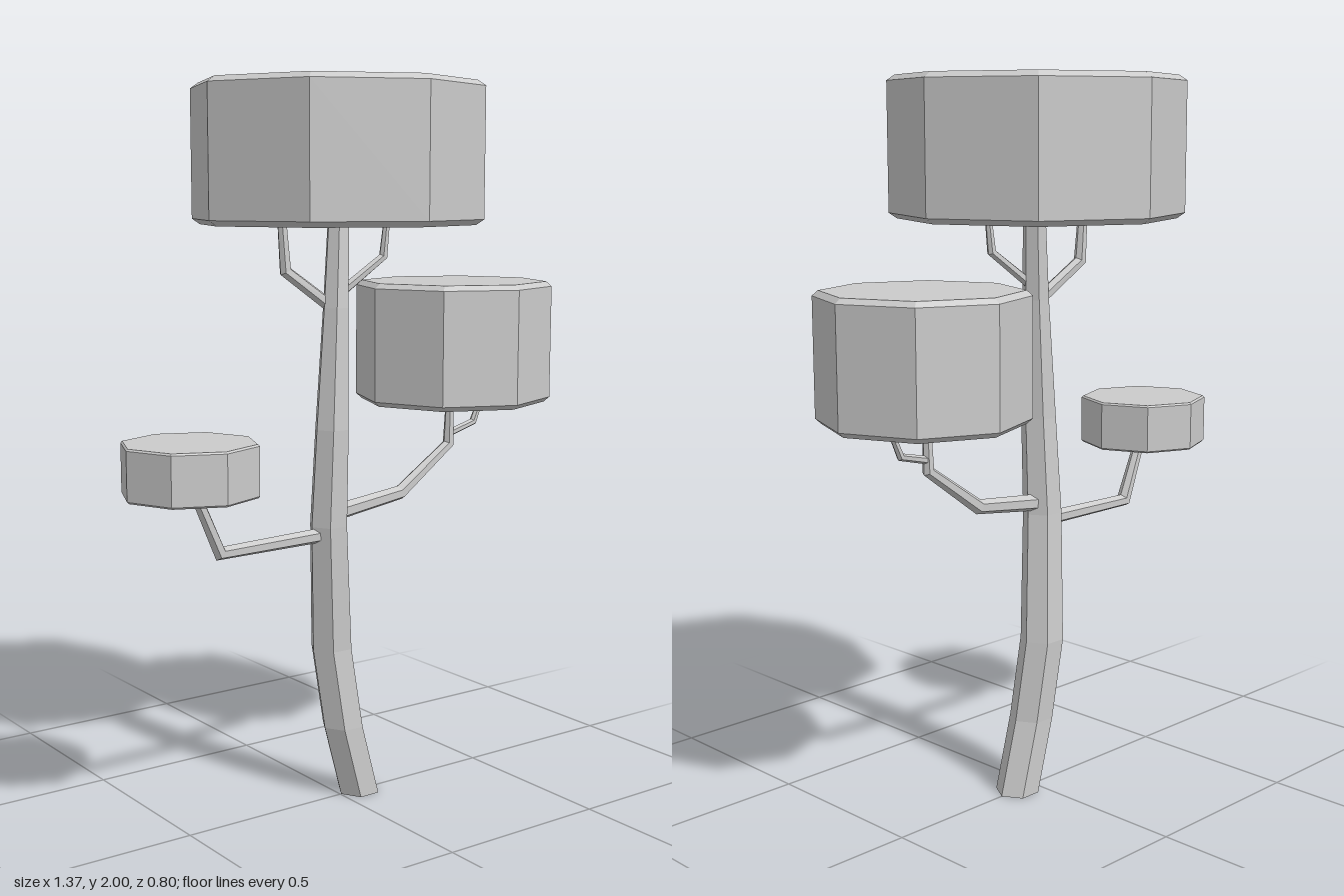
import * as THREE from 'three';

const material = new THREE.MeshStandardMaterial({ color: 0xcccccc, flatShading: true });
const Z = new THREE.Vector3(0, 0, 1);

// Faceted limb through rings [x, y, z, radius]; level keeps every ring horizontal
function limb(name, rings, sides = 6, level = false) {
  const centres = rings.map(([x, y, z]) => new THREE.Vector3(x, y, z));
  const positions = [];
  const index = [];
  rings.forEach((ring, k) => {
    const p = centres[k];
    const before = centres[Math.max(k - 1, 0)];
    const after = centres[Math.min(k + 1, centres.length - 1)];
    const t = level
      ? new THREE.Vector3(0, 1, 0)
      : p.clone().sub(before).normalize().add(after.clone().sub(p).normalize()).normalize();
    const n = t.clone().cross(Z).normalize();
    const b = n.clone().cross(t);
    for (let i = 0; i < sides; i++) {
      const a = (i / sides) * Math.PI * 2;
      const v = p.clone()
        .addScaledVector(n, ring[3] * Math.cos(a))
        .addScaledVector(b, ring[3] * Math.sin(a));
      positions.push(v.x, v.y, v.z);
    }
  });
  // Side walls
  for (let k = 0; k < rings.length - 1; k++) {
    for (let i = 0; i < sides; i++) {
      const lo = k * sides + i;
      const loNext = k * sides + ((i + 1) % sides);
      index.push(lo, lo + sides, loNext + sides, lo, loNext + sides, loNext);
    }
  }
  // End caps
  const top = (rings.length - 1) * sides;
  for (let i = 1; i < sides - 1; i++) {
    index.push(0, i, i + 1, top, top + i + 1, top + i);
  }
  const geometry = new THREE.BufferGeometry();
  geometry.setAttribute('position', new THREE.Float32BufferAttribute(positions, 3));
  geometry.setIndex(index);
  geometry.computeVertexNormals();
  const mesh = new THREE.Mesh(geometry, material);
  mesh.name = name;
  return mesh;
}

// Octagonal foliage block with chamfered rims
function foliage(name, x, z, bottom, top, radius, inset, rise) {
  const h = top - bottom;
  const profile = [
    [0, 0], [radius - inset, 0], [radius, rise],
    [radius, h - rise], [radius - inset, h], [0, h],
  ].map(([r, y]) => new THREE.Vector2(r, y));
  const mesh = new THREE.Mesh(new THREE.LatheGeometry(profile, 8), material);
  mesh.position.set(x, bottom, z);
  mesh.name = name;
  return mesh;
}

export function createModel() {
  const tree = new THREE.Group();
  tree.name = 'tree';

  // Curved, tapering trunk
  tree.add(limb('trunk', [
    [0.065, 0, 0, 0.062],
    [0.008, 0.21, 0, 0.062],
    [-0.022, 0.44, -0.013, 0.062],
    [-0.05, 0.8, 0.013, 0.056],
    [-0.046, 1.07, 0.024, 0.05],
    [-0.03, 1.4, 0.02, 0.038],
    [-0.01, 1.65, 0.005, 0.031],
  ], 6, true));

  // Main branches
  tree.add(limb('rightBranch', [
    [-0.06, 0.775, 0.015, 0.021],
    [-0.41, 0.77, 0.025, 0.021],
    [-0.495, 0.96, 0.03, 0.015],
  ]));
  tree.add(limb('leftBranch', [
    [-0.03, 0.83, 0.01, 0.024],
    [0.21, 0.86, 0, 0.021],
    [0.388, 0.985, 0, 0.017],
    [0.393, 1.14, 0, 0.011],
  ]));

  // Twigs under the foliage
  tree.add(limb('leftTwig', [
    [0.388, 1.015, 0, 0.011],
    [0.49, 1.04, -0.01, 0.011],
    [0.535, 1.14, -0.01, 0.008],
  ]));
  tree.add(limb('upperRightTwig', [
    [-0.035, 1.4, 0.01, 0.018],
    [-0.17, 1.5, -0.015, 0.018],
    [-0.182, 1.65, -0.015, 0.013],
  ]));
  tree.add(limb('upperLeftTwig', [
    [-0.01, 1.445, 0.025, 0.014],
    [0.112, 1.535, 0.045, 0.013],
    [0.122, 1.65, 0.05, 0.009],
  ]));

  // Foliage blocks
  tree.add(foliage('topFoliage', -0.015, 0, 1.622, 2, 0.4, 0.022, 0.015));
  tree.add(foliage('leftFoliage', 0.4, 0, 1.113, 1.458, 0.281, 0.016, 0.014));
  tree.add(foliage('rightFoliage', -0.5, 0.03, 0.935, 1.075, 0.184, 0.005, 0.005));

  return tree;
}
